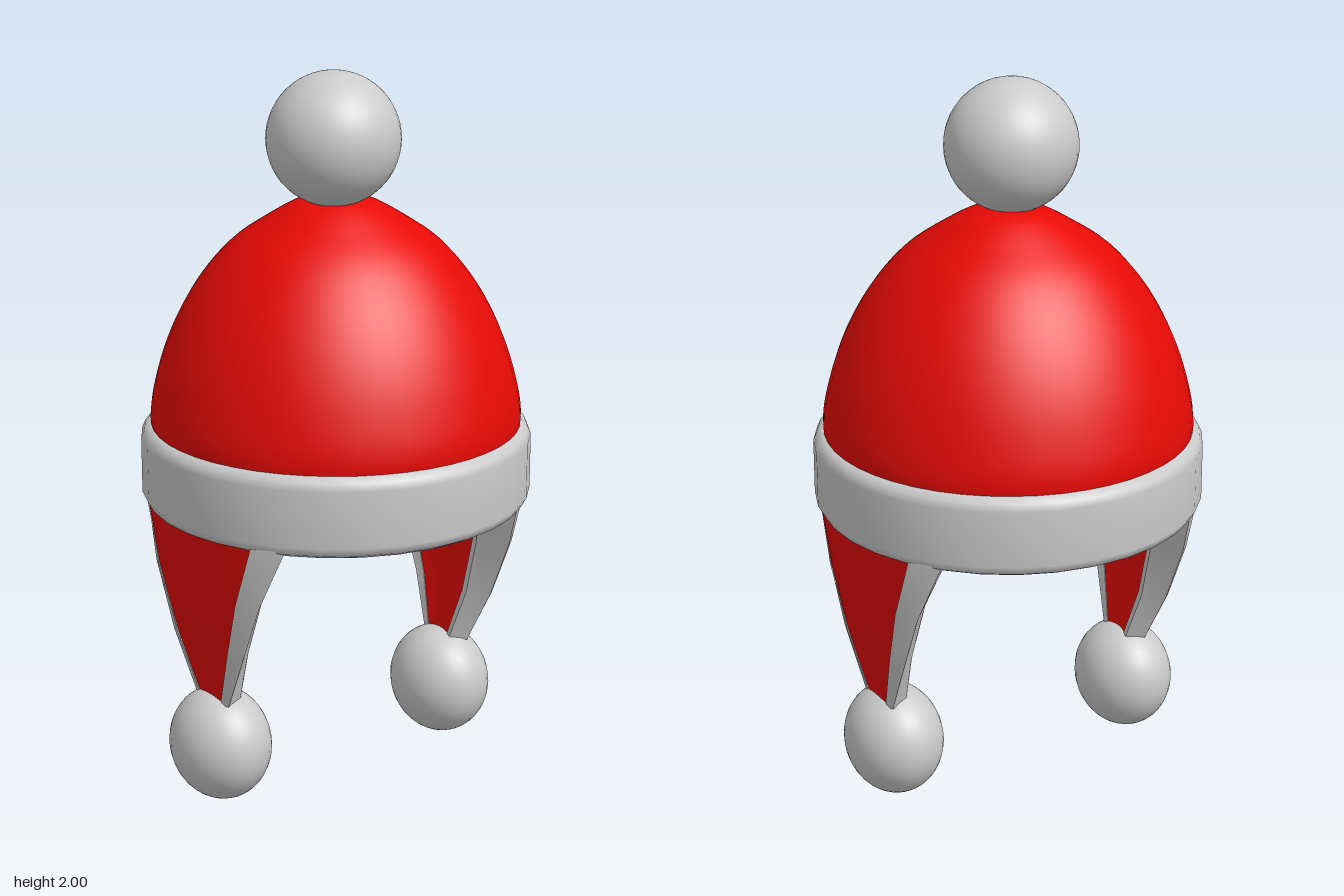
import * as THREE from 'three';
import { toCreasedNormals } from 'three/addons/utils/BufferGeometryUtils.js';

const red = new THREE.MeshStandardMaterial({ color: 0xe80a05, side: THREE.DoubleSide });
const grey = new THREE.MeshStandardMaterial({ color: 0xcccccc, side: THREE.DoubleSide });
const v2 = (pts) => pts.map(([x, y]) => new THREE.Vector2(x, y));

function add(parent, name, geometry, material) {
  const mesh = new THREE.Mesh(geometry, material);
  mesh.name = name;
  parent.add(mesh);
  return mesh;
}

// Ear flap cross-sections: [y, outer z, inner z, panel half width, trim half width]
const ROWS = [
  [0.95, 0.526, 0.45, 0.27, 0.34],
  [0.86, 0.526, 0.39, 0.262, 0.336],
  [0.82, 0.526, 0.39, 0.253, 0.325],
  [0.64, 0.502, 0.408, 0.187, 0.245],
  [0.46, 0.467, 0.397, 0.12, 0.165],
  [0.30, 0.432, 0.37, 0.052, 0.08],
  [0.27, 0.425, 0.37, 0.045, 0.07],
];
const OUTER = 0.53, INNER = 0.4; // bend radii of the flap faces
const TAPER = 0.75; // inner face is narrower than the outer one

// Bend a depth around the head: drop of a circle of radius r at x
const drop = (x, r) => r - Math.sqrt(r * r - x * x);

// Grid skinned over the rows; point(row, column) gives [x, z]
function skin(rows, columns, point) {
  const g = new THREE.PlaneGeometry(1, 1, columns, rows.length - 1);
  const p = g.attributes.position;
  rows.forEach((row, j) => {
    for (let i = 0; i <= columns; i++) {
      const [x, z] = point(row, i);
      p.setXYZ(j * (columns + 1) + i, x, row[0], z);
    }
  });
  g.computeVertexNormals();
  return g;
}

function panel(inside) {
  const n = 12;
  return skin(ROWS, n, ([, zo, zi, half], i) => {
    const x = (i / n * 2 - 1) * (half * (inside ? TAPER : 1) + 0.008);
    return [x, inside ? zi + 0.003 - drop(x, INNER) : zo - 0.003 - drop(x, OUTER)];
  });
}

// Thick edge strip: closed cross-section with softened corners
function trim() {
  const g = skin(ROWS.slice(1), 7, ([, zo, zi, a, b], i) => {
    const s = (b - a) * 0.2;
    const out = (x, d = 0) => [x, zo - d - drop(x, OUTER)];
    const inn = (x, d = 0) => [x * TAPER, zi + d - drop(x * TAPER, INNER)];
    return [out(a), out(b - s), out(b, s), inn(b, s),
      inn(b - s), inn((a + b) / 2), inn(a), out(a)][i];
  });
  return toCreasedNormals(g, 0.9);
}

function flap(name, pomZ) {
  const group = new THREE.Group();
  group.name = name;
  add(group, 'flapOuterPanel', panel(false), red);
  add(group, 'flapLining', panel(true), red);
  const edge = trim();
  add(group, 'flapTrimLeft', edge, grey);
  add(group, 'flapTrimRight', edge, grey).scale.x = -1;
  const pom = add(group, 'flapPompom', new THREE.SphereGeometry(1, 32, 24), grey);
  pom.scale.set(0.159, 0.16, 0.135);
  pom.position.set(0, 0.16, pomZ);
  return group;
}

export function createModel() {
  const hat = new THREE.Group();
  hat.name = 'winterHat';

  // Crown
  const curve = new THREE.SplineCurve(v2([
    [0.505, 1.0], [0.511, 1.05], [0.502, 1.12], [0.472, 1.23], [0.428, 1.335],
    [0.368, 1.435], [0.29, 1.525], [0.2, 1.59], [0.095, 1.648], [0, 1.66],
  ]));
  const profile = curve.getPoints(36);
  profile[36].x = 0;
  add(hat, 'crown', new THREE.LatheGeometry(profile, 48), red);

  // Red lining inside the crown
  const lining = new THREE.SplineCurve(v2([
    [0.4, 0.85], [0.43, 0.95], [0.445, 1.08], [0.42, 1.23], [0.37, 1.335],
    [0.31, 1.435], [0.2, 1.53], [0.08, 1.59], [0, 1.6],
  ])).getPoints(24);
  lining[24].x = 0;
  add(hat, 'crownLining', new THREE.LatheGeometry(lining, 48), red);

  // Rolled brim
  const brim = new THREE.LatheGeometry(v2([
    [0.42, 0.885], [0.392, 0.865], [0.384, 0.845], [0.392, 0.822], [0.42, 0.807], [0.46, 0.8],
    [0.5, 0.802], [0.525, 0.815], [0.539, 0.84], [0.539, 0.995], [0.53, 1.015], [0.515, 1.03],
    [0.495, 1.03],
  ]), 32, Math.PI / 32);
  add(hat, 'brim', brim, grey);

  // Top pompom
  add(hat, 'topPompom', new THREE.SphereGeometry(0.182, 40, 28), grey).position.set(0.02, 1.818, 0.022);

  // Front and back flaps
  hat.add(flap('frontFlap', 0.397));
  const back = flap('backFlap', 0.378);
  back.rotation.y = Math.PI;
  hat.add(back);

  return hat;
}
